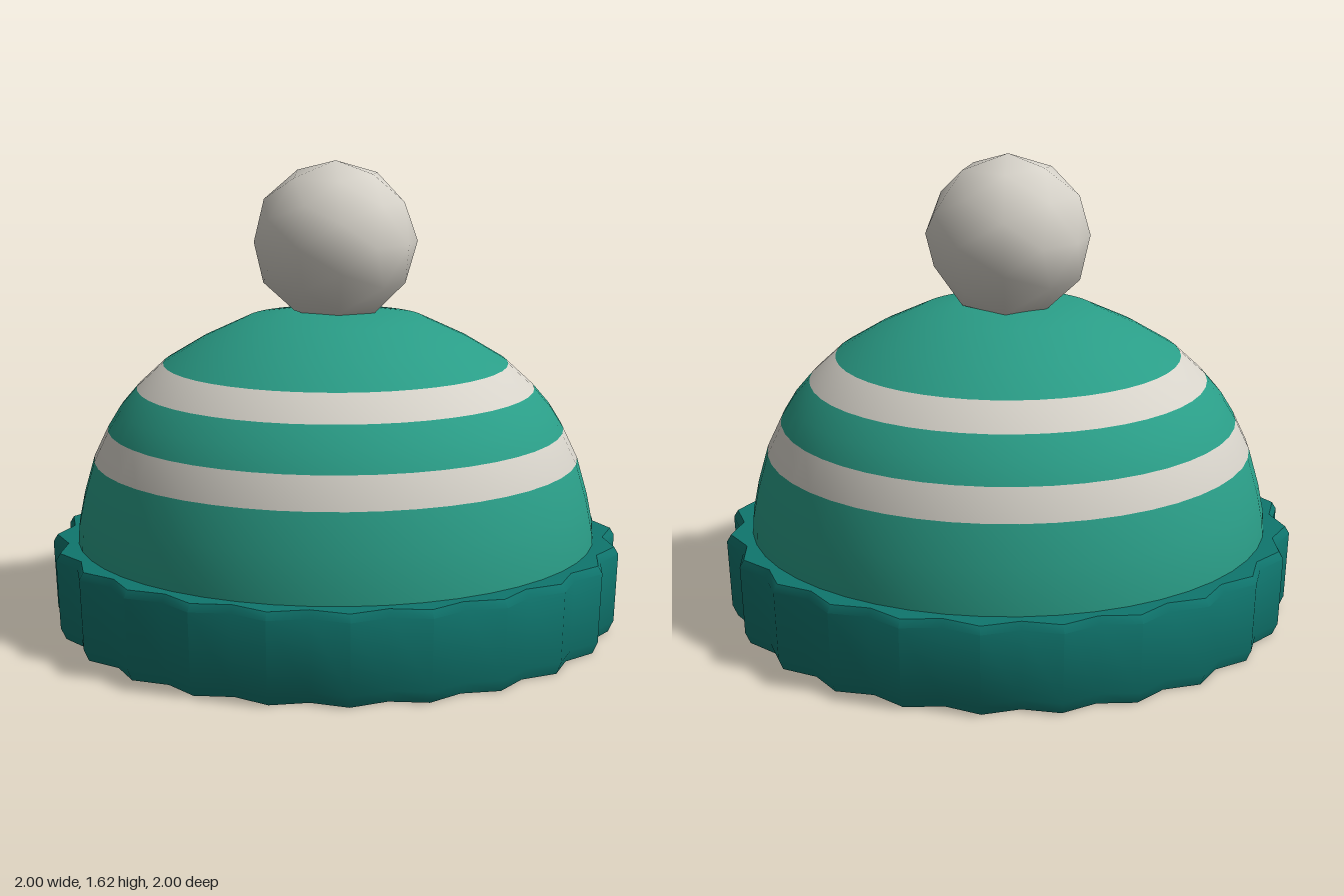
import * as THREE from 'three';
import { mergeVertices, toCreasedNormals } from 'three/addons/utils/BufferGeometryUtils.js';

const SEGMENTS = 48;
const material = (name, color) => {
  const m = new THREE.MeshStandardMaterial({ color });
  m.name = name;
  return m;
};
const toPoints = (pairs) => pairs.map(([r, y]) => new THREE.Vector2(r, y));

// Lathe whose rows of faces are grouped by colour index
function bandedLathe(profile, rowColors) {
  const geo = new THREE.LatheGeometry(toPoints(profile), SEGMENTS);
  const old = Array.from(geo.index.array);
  const rows = profile.length - 1;
  // The last row touches the axis, but the lathe still emits full quads there
  const index = [];
  for (let j = 0; j < rows; j++) {
    for (let i = 0; i < SEGMENTS; i++) {
      const start = (i * rows + j) * 6;
      index.push(...old.slice(start, start + 6));
    }
    geo.addGroup(j * SEGMENTS * 6, SEGMENTS * 6, rowColors[j]);
  }
  geo.setIndex(index);
  return geo;
}

// Folded brim: a ring whose outer wall alternates between ridges and valleys
function brimGeometry() {
  const profile = [[0.85, 0], [0.972, 0], [0.99, 0.04], [1, 0.28], [0.985, 0.305], [0.85, 0.305], [0.85, 0]];
  const geo = new THREE.LatheGeometry(toPoints(profile), SEGMENTS);
  const pos = geo.attributes.position;
  for (let k = 0; k < pos.count; k++) {
    const column = Math.floor(k / profile.length);
    const outer = Math.hypot(pos.getX(k), pos.getZ(k)) > 0.9;
    if (outer && column % 2 === 1) {
      pos.setX(k, pos.getX(k) * 0.957);
      pos.setZ(k, pos.getZ(k) * 0.957);
    }
  }
  return toCreasedNormals(geo, 0.9);
}

// Slightly lumpy low-poly ball with smooth normals
function pompomGeometry() {
  let geo = new THREE.IcosahedronGeometry(1, 1);
  geo.deleteAttribute('normal');
  geo.deleteAttribute('uv');
  geo = mergeVertices(geo, 1e-3);
  const pos = geo.attributes.position;
  const v = new THREE.Vector3();
  for (let k = 0; k < pos.count; k++) {
    v.fromBufferAttribute(pos, k);
    const lump = 0.006 * Math.sin(7 * v.x + 3 * v.y) * Math.cos(5 * v.z - 2 * v.y);
    v.multiplyScalar(0.285 - 0.007 * v.x - 0.005 * v.y - 0.011 * v.z + lump);
    pos.setXYZ(k, v.x, v.y, v.z);
  }
  geo.computeVertexNormals();
  return geo;
}

export function createModel() {
  const knit = material('green knit', 0x2a9d87);
  const brimKnit = material('dark teal knit', 0x0f766e);
  const cream = material('cream wool', 0xd6d2c9);
  const group = new THREE.Group();
  group.name = 'bobbleHat';
  const add = (name, geo, mat) => {
    const mesh = new THREE.Mesh(geo, mat);
    mesh.name = name;
    group.add(mesh);
    return mesh;
  };

  // Crown with two flush stripes
  const crown = [
    [0.91, 0.28], [0.905, 0.36], [0.885, 0.46], [0.848, 0.59], [0.798, 0.695], [0.755, 0.765],
    [0.695, 0.835], [0.603, 0.92], [0.47, 1.0], [0.31, 1.075], [0.15, 1.1], [0, 1.105],
  ];
  add('crown', bandedLathe(crown, [0, 0, 0, 1, 0, 0, 1, 0, 0, 0, 0]), [knit, cream]);

  // Flat underside closing the crown
  const underside = add('crownUnderside', new THREE.CircleGeometry(0.91, SEGMENTS), knit);
  underside.rotation.x = Math.PI / 2;
  underside.position.y = 0.28;

  add('brim', brimGeometry(), brimKnit);

  const pompom = add('pompom', pompomGeometry(), cream);
  pompom.position.y = 1.34;

  return group;
}
